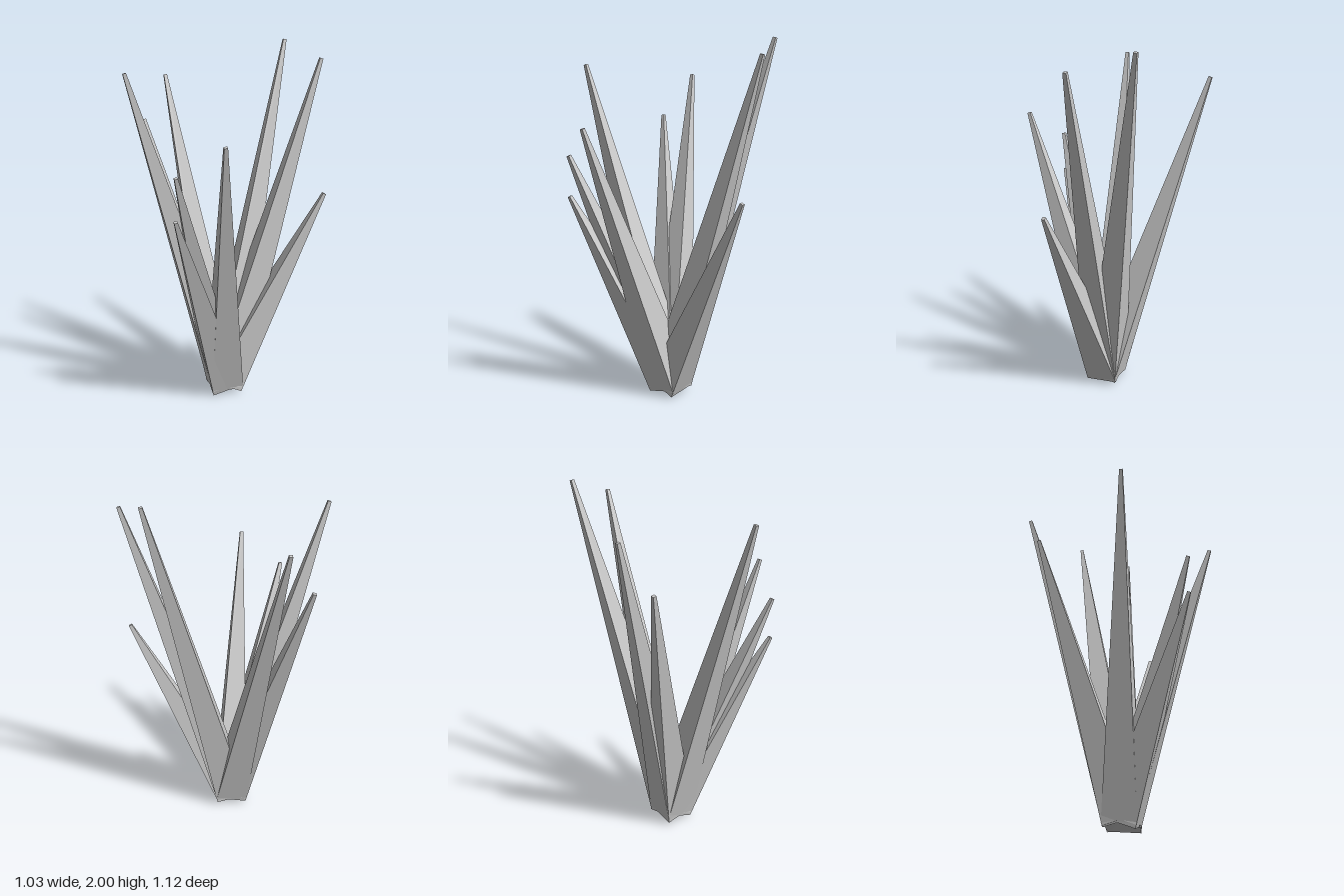
import * as THREE from 'three';

// Centre of the shared root and the tip of every crystal spike
const ROOT = new THREE.Vector3(0.045, 0.06, 0);
const TIPS = [
  [0.12, 2.0, -0.547],
  [0.41, 1.91, -0.415],
  [0.503, 1.185, -0.31],
  [0.328, 1.547, 0.47],
  [0.095, 1.387, 0.547],
  [0.09, 1.167, 0.547],
  [-0.275, 1.86, 0.447],
  [-0.505, 1.558, -0.018],
  [-0.473, 1.8, -0.19],
];
const ROOT_RADIUS = 0.13;
const TIP_RADIUS = 0.013;

export function createModel() {
  const model = new THREE.Group();
  model.name = 'crystalCluster';
  const material = new THREE.MeshStandardMaterial({ color: 0xcccccc, flatShading: true });
  const up = new THREE.Vector3(0, 1, 0);

  // Four-sided tapered spikes fanning out from one root
  TIPS.forEach((tip, i) => {
    const axis = new THREE.Vector3(...tip).sub(ROOT);
    const length = axis.length();
    const geometry = new THREE.CylinderGeometry(TIP_RADIUS, ROOT_RADIUS, length, 4);
    geometry.translate(0, length / 2, 0);
    const spike = new THREE.Mesh(geometry, material);
    spike.name = `spike${i + 1}`;
    spike.position.copy(ROOT);
    spike.quaternion.setFromUnitVectors(up, axis.normalize());
    model.add(spike);
  });

  return model;
}
